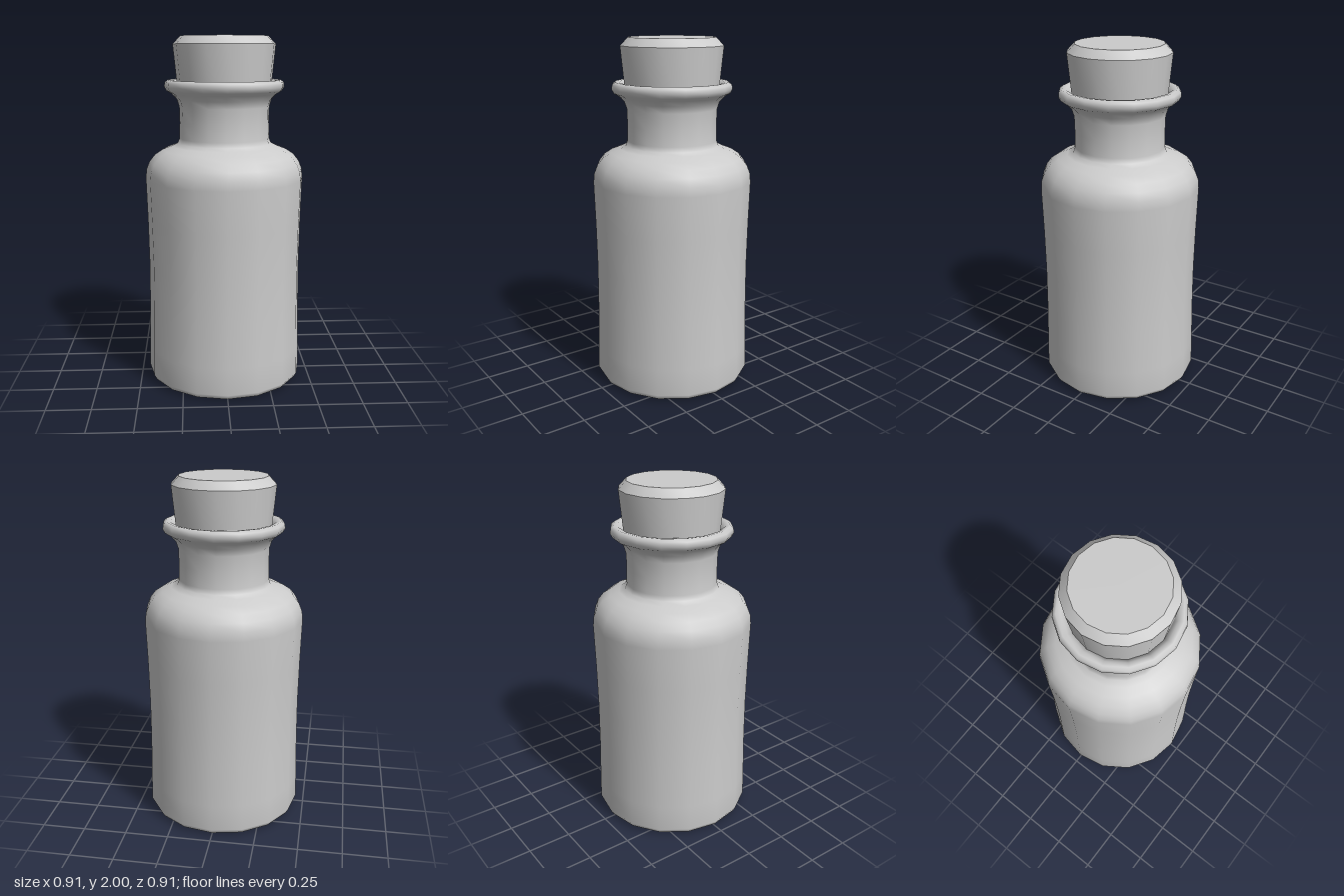
import * as THREE from 'three';
import { toCreasedNormals } from 'three/addons/utils/BufferGeometryUtils.js';

const SIDES = 16;
const lathe = (profile) =>
  new THREE.LatheGeometry(profile.map(([r, y]) => new THREE.Vector2(r, y)), SIDES);

export function createModel() {
  const group = new THREE.Group();
  group.name = 'corkedBottle';
  const material = new THREE.MeshStandardMaterial({ color: 0xcccccc });
  const glass = new THREE.MeshStandardMaterial({ color: 0xcccccc, side: THREE.DoubleSide });

  // Bottle: hollowed base, slightly waisted body, shoulder, neck, rolled lip, inner neck
  const bottle = new THREE.Mesh(lathe([
    [0, 0.08], [0.14, 0.07], [0.26, 0.045], [0.34, 0.015], [0.375, 0.005],
    [0.41, 0.006], [0.44, 0.018], [0.455, 0.045],
    [0.452, 0.2], [0.446, 0.45], [0.444, 0.7], [0.448, 0.95], [0.455, 1.2],
    [0.45, 1.25], [0.432, 1.295], [0.4, 1.335], [0.355, 1.365], [0.3, 1.386],
    [0.268, 1.402], [0.257, 1.43],
    [0.255, 1.52], [0.257, 1.61], [0.27, 1.65], [0.298, 1.68],
    [0.328, 1.697], [0.341, 1.72], [0.338, 1.745], [0.32, 1.758],
    [0.295, 1.755], [0.275, 1.735], [0.24, 1.68], [0.225, 1.6], [0.225, 1.45],
  ]), glass);
  bottle.name = 'bottle';

  // Tapered stopper with a bevelled top, plugged into the neck
  const stopper = new THREE.Mesh(toCreasedNormals(lathe([
    [0, 1.55], [0.25, 1.55], [0.29, 1.955], [0.247, 2], [0, 2],
  ]), 0.6), material);
  stopper.name = 'stopper';

  group.add(bottle, stopper);
  return group;
}
